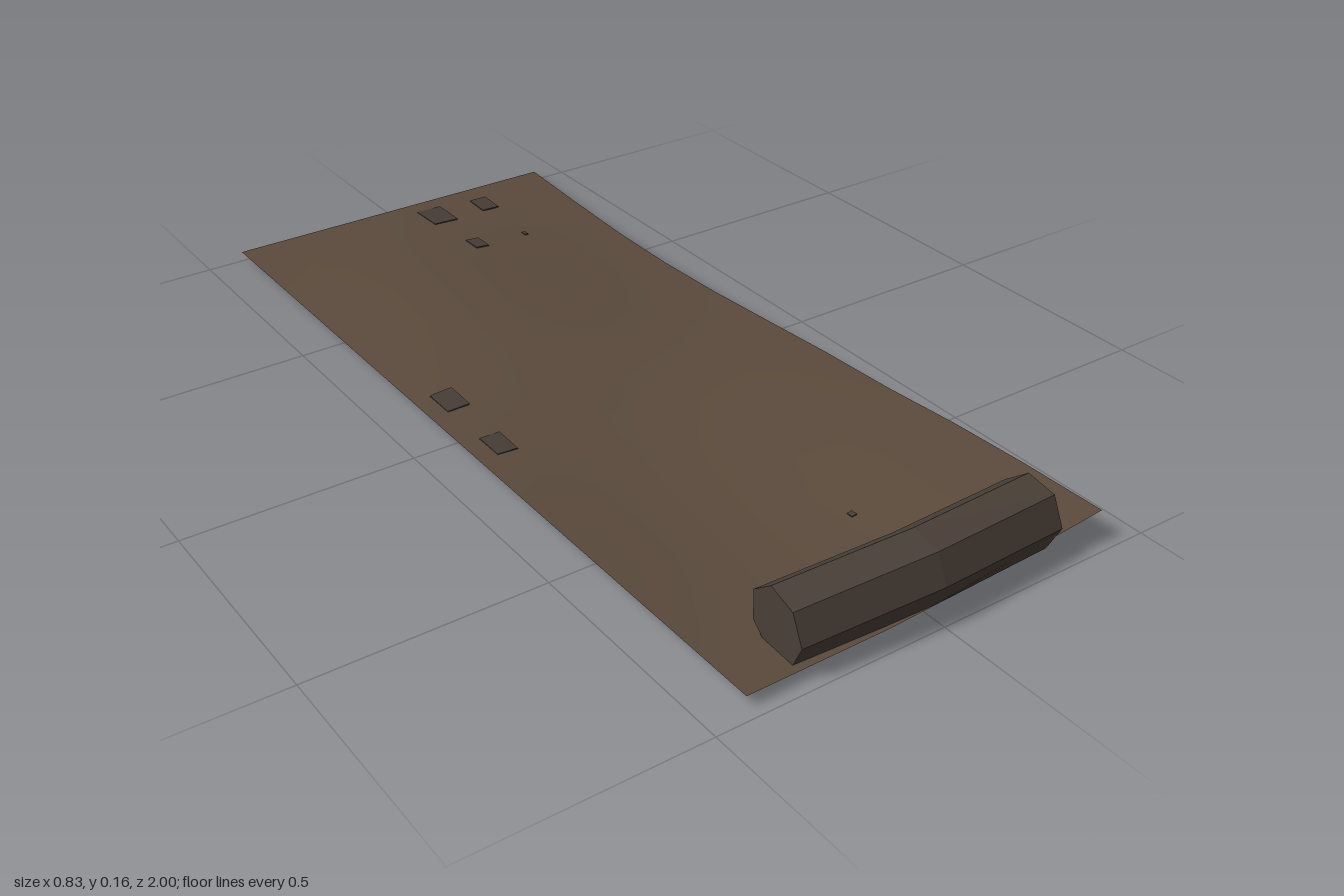
import * as THREE from 'three';

// Height of the rumpled cloth at a point
function clothHeight(x, z) {
  const wave = -0.021 * Math.sin(5.7 * (x + 0.415)) * Math.sin(Math.PI * Math.max(-1, z / 0.97));
  const lift = 0.079 * Math.max(0, z - 0.4) * THREE.MathUtils.clamp((x + 0.05) / 0.465, 0, 1);
  return 0.025 + wave + lift;
}

// Drape a geometry over the cloth by moving its vertices
function drape(geometry) {
  const p = geometry.attributes.position;
  for (let i = 0; i < p.count; i++) {
    p.setY(i, p.getY(i) + clothHeight(p.getX(i), p.getZ(i)));
  }
  geometry.computeVertexNormals();
  return geometry;
}

function addMesh(group, name, geometry, material) {
  const mesh = new THREE.Mesh(geometry, material);
  mesh.name = name;
  group.add(mesh);
}

export function createModel() {
  const model = new THREE.Group();
  model.name = 'bedroll';
  const clothMaterial = new THREE.MeshStandardMaterial({ color: 0x5a4a3c, side: THREE.DoubleSide });
  const patchMaterial = new THREE.MeshStandardMaterial({ color: 0x463d35 });
  const rollMaterial = new THREE.MeshStandardMaterial({ color: 0x4a4038, flatShading: true });

  // Thin wavy mat
  const mat = new THREE.PlaneGeometry(0.83, 1.97, 8, 10);
  mat.rotateX(-Math.PI / 2).translate(0, 0, -0.015);
  addMesh(model, 'mat', drape(mat), clothMaterial);

  // Small sewn patches: x, z, width, length
  const patches = [
    [0.07, -0.905, 0.064, 0.09], [0.205, -0.905, 0.045, 0.065],
    [0.07, -0.71, 0.034, 0.05], [0.205, -0.71, 0.01, 0.015],
    [-0.35, -0.115, 0.052, 0.075], [-0.35, 0.08, 0.047, 0.07],
    [0.07, 0.67, 0.012, 0.015], [0.07, 0.865, 0.06, 0.075],
  ];
  for (const [x, z, width, length] of patches) {
    const patch = new THREE.BoxGeometry(width, 0.006, length).translate(x, 0, z);
    addMesh(model, 'patch', drape(patch), patchMaterial);
  }

  // Seven-sided rolled pillow, bent in the middle
  const roll = new THREE.CylinderGeometry(0.075, 0.075, 0.6, 7, 2);
  roll.rotateZ(Math.PI / 2);
  const p = roll.attributes.position;
  for (let i = 0; i < p.count; i++) {
    const x = p.getX(i), y = p.getY(i), z = p.getZ(i);
    const t = x / 0.3, a = Math.abs(t);
    p.setXYZ(i, x + t * (0.067 * z + 0.033 * y), y + 0.085 - 0.01 * a, z + 0.92 - 0.02 * a);
  }
  roll.computeVertexNormals();
  addMesh(model, 'pillowRoll', roll, rollMaterial);

  return model;
}
